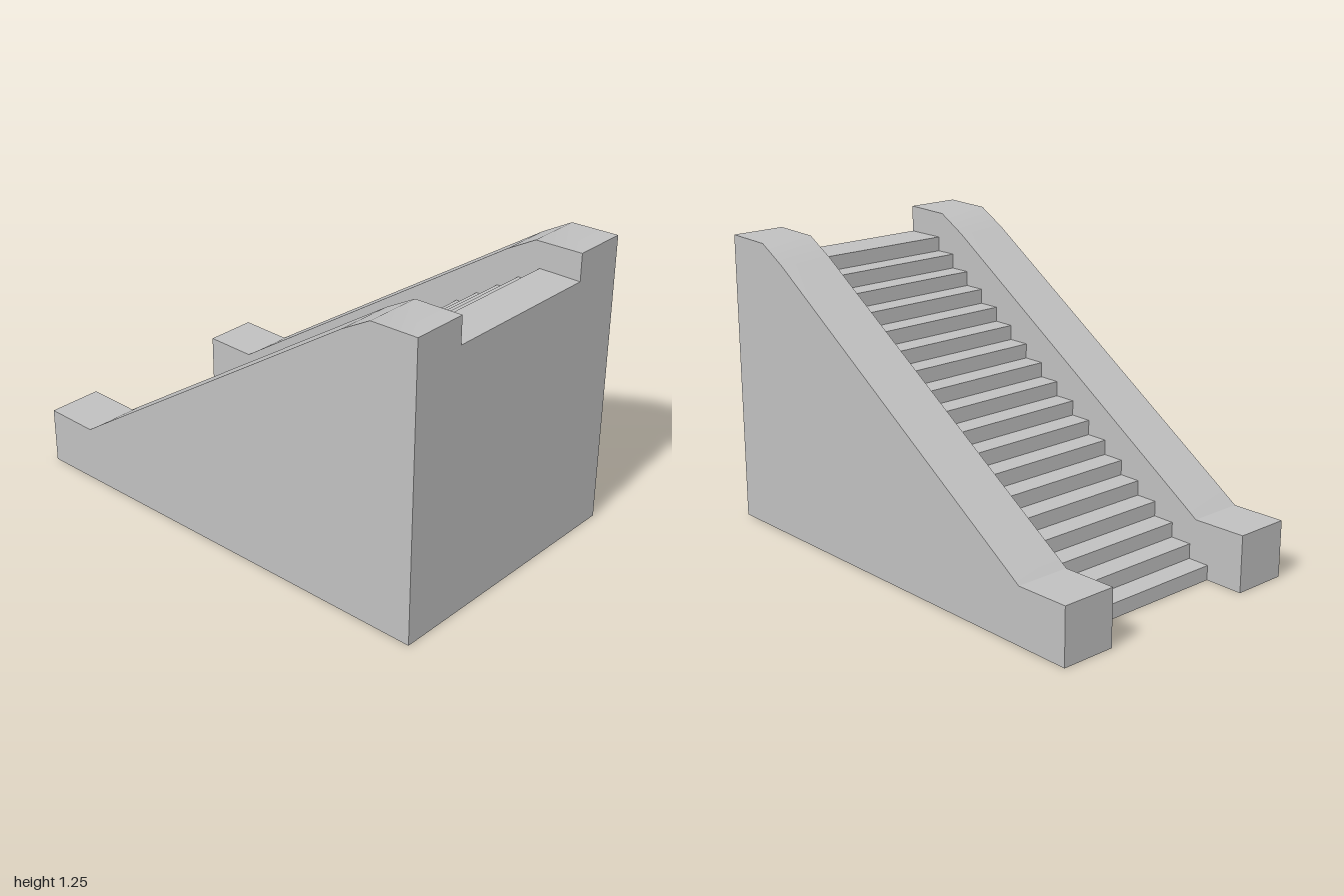
import * as THREE from 'three';
import { toCreasedNormals } from 'three/addons/utils/BufferGeometryUtils.js';

// Extrude a side profile of [z, y] points between two x positions
function extrudeProfile(points, x0, x1) {
  const shape = new THREE.Shape(points.map(([z, y]) => new THREE.Vector2(z, y)));
  const geometry = new THREE.ExtrudeGeometry(shape, { depth: x1 - x0, bevelEnabled: false });
  geometry.rotateY(-Math.PI / 2); // profile x becomes z, depth runs towards -x
  geometry.translate(x1, 0, 0);
  return geometry;
}

export function createModel() {
  const group = new THREE.Group();
  group.name = 'staircase';
  const stone = new THREE.MeshStandardMaterial({ color: 0xc0c0c0 });
  stone.name = 'grey stone';

  const innerX = 0.36, outerX = 0.6;

  // Solid flight of steps, rising from the back towards the front
  const count = 18, startZ = -0.83, tread = 0.0968, rise = 1.14 / count;
  const steps = [[1, 0], [startZ, 0]];
  for (let i = 0; i < count; i++) {
    const z = startZ + i * tread;
    steps.push([z, (i + 1) * rise]);
    steps.push([i === count - 1 ? 1 : z + tread, (i + 1) * rise]);
  }
  const flight = new THREE.Mesh(extrudeProfile(steps, -innerX, innerX), stone);
  flight.name = 'steps';
  group.add(flight);

  // Sloped side walls with a low block at the foot and a softly rounded head
  const wall = [
    [-1, 0], [1, 0], [1, 1.255], [0.79, 1.25], [0.66, 1.177],
    [-0.69, 0.285], [-0.76, 0.238], [-1, 0.242],
  ];
  for (const [name, x0, x1] of [['leftWall', innerX, outerX], ['rightWall', -outerX, -innerX]]) {
    const mesh = new THREE.Mesh(toCreasedNormals(extrudeProfile(wall, x0, x1), 0.55), stone);
    mesh.name = name;
    group.add(mesh);
  }
  return group;
}
